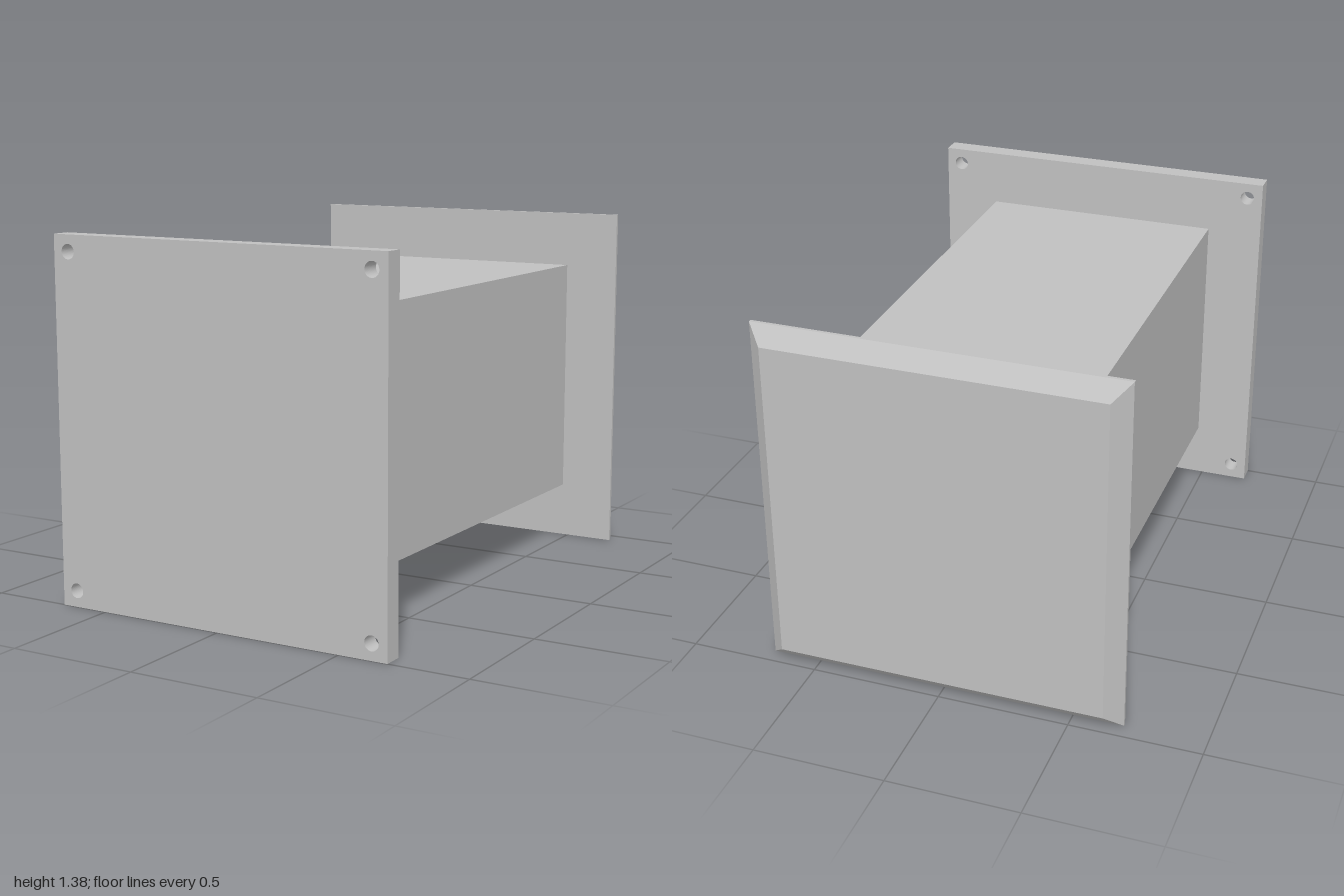
import * as THREE from 'three';

const HALF = 0.692;      // half width of both end plates
const INNER = 0.63;      // half width of the bevelled back face, and hole offset
const HOLE_R = 0.028;

// Square slab along z from zStart back to zEnd, tapering from one half width to the other
function squareTaper(startHalf, endHalf, zStart, zEnd) {
  const g = new THREE.CylinderGeometry(
    endHalf * Math.SQRT2, startHalf * Math.SQRT2, zStart - zEnd, 4, 1
  ).toNonIndexed();
  g.rotateY(Math.PI / 4);
  g.rotateX(-Math.PI / 2);
  g.translate(0, 0, (zStart + zEnd) / 2);
  g.computeVertexNormals();
  return g;
}

// Square plate with a bolt hole in each corner
function drilledPlate(depth) {
  const shape = new THREE.Shape([
    new THREE.Vector2(-HALF, -HALF), new THREE.Vector2(HALF, -HALF),
    new THREE.Vector2(HALF, HALF), new THREE.Vector2(-HALF, HALF),
  ]);
  for (const sx of [-1, 1]) {
    for (const sy of [-1, 1]) {
      const hole = new THREE.Path();
      hole.absarc(sx * INNER, sy * INNER, HOLE_R, 0, Math.PI * 2, true);
      shape.holes.push(hole);
    }
  }
  return new THREE.ExtrudeGeometry(shape, { depth, bevelEnabled: false, curveSegments: 32 });
}

export function createModel() {
  const metal = new THREE.MeshStandardMaterial({ color: 0xc0c0c0 });
  metal.name = 'light grey metal';

  const model = new THREE.Group();
  model.name = 'flangedBlock';
  const add = (name, geometry) => {
    const mesh = new THREE.Mesh(geometry, metal);
    mesh.name = name;
    mesh.position.y = HALF;
    model.add(mesh);
    return mesh;
  };

  // Front mounting plate
  add('frontPlate', drilledPlate(0.075)).position.z = 0.925;

  // Square body between the plates
  add('body', new THREE.BoxGeometry(0.947, 0.947, 1.85));

  // Back plate: thin straight rim, then a chamfer down to the rear face
  add('backPlateRim', squareTaper(HALF, HALF, -0.925, -0.938));
  add('backPlateChamfer', squareTaper(HALF, INNER, -0.938, -1));

  return model;
}
